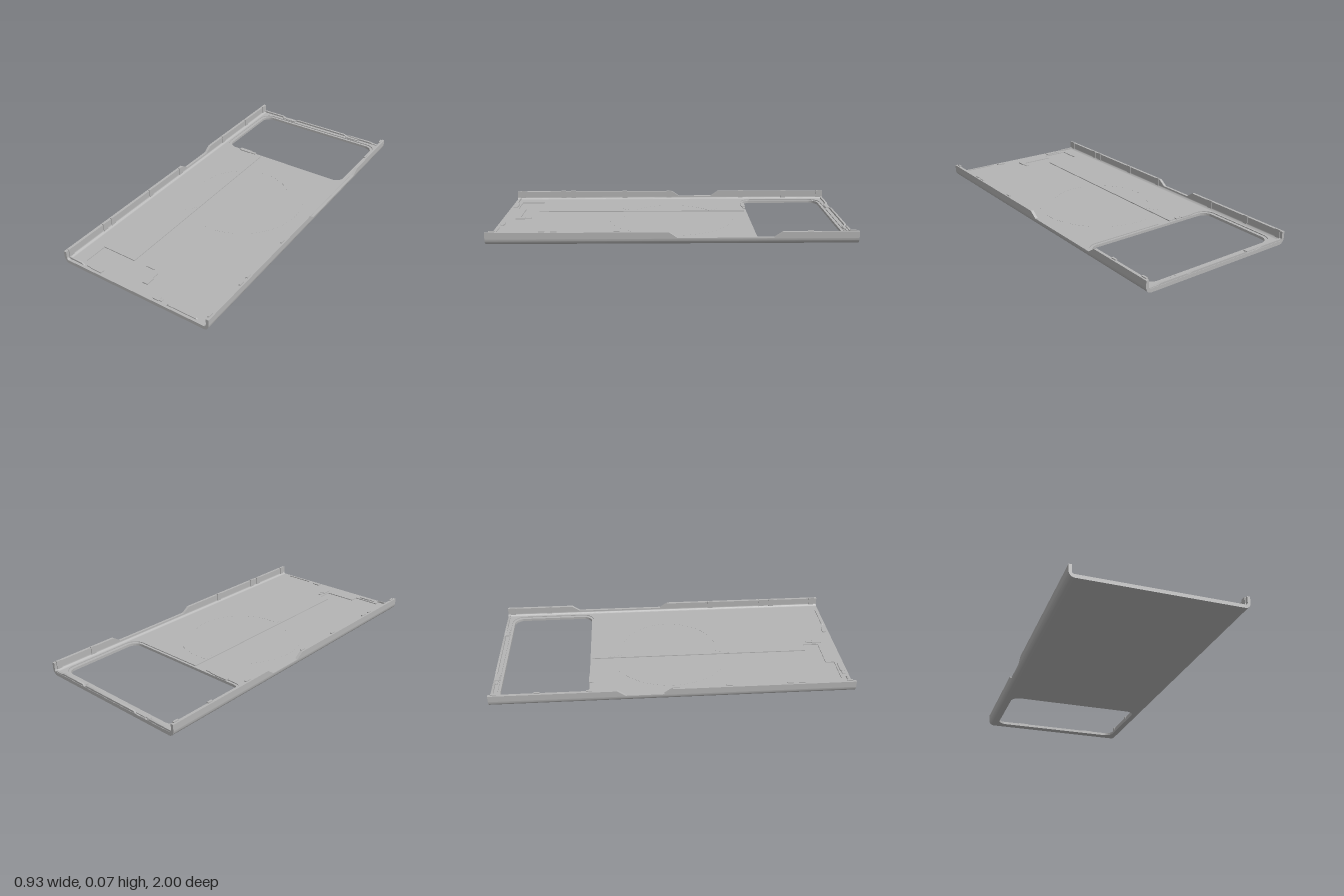
import * as THREE from 'three';
import { toCreasedNormals } from 'three/addons/utils/BufferGeometryUtils.js';

export function createModel() {
  const model = new THREE.Group();
  model.name = 'backCover';
  const grey = new THREE.MeshStandardMaterial({ color: 0xb4b4b4 });
  grey.name = 'grey plastic';

  const add = (name, geometry) => {
    const mesh = new THREE.Mesh(geometry, grey);
    mesh.name = name;
    model.add(mesh);
    return mesh;
  };
  const box = (name, x, y, z, w, h, d) =>
    add(name, new THREE.BoxGeometry(w, h, d).translate(x, y, z));
  const poly = (pts) => new THREE.Shape(pts.map(([x, y]) => new THREE.Vector2(x, y)));
  const extrude = (shape, depth) =>
    toCreasedNormals(new THREE.ExtrudeGeometry(shape, { depth, bevelEnabled: false, curveSegments: 10 }), 0.6);
  // plan shapes use (x, -z) and are laid flat at height y
  const slab = (name, shape, y, h) => add(name, extrude(shape, h).rotateX(-Math.PI / 2).translate(0, y, 0));

  const FLOOR = 0.02, STEP = 0.015, EDGE = 0.435;
  const plan = () => poly([[-EDGE, -1], [EDGE, -1], [EDGE, 1], [-EDGE, 1]]);

  // rounded camera window; extra points interrupt its lower side
  const windowPath = (w, y0, y1, r, extra = []) => {
    const p = new THREE.Path();
    p.moveTo(-w + r, y0);
    extra.forEach(([x, y]) => p.lineTo(x, y));
    p.lineTo(w - r, y0);
    p.absarc(w - r, y0 + r, r, -Math.PI / 2, 0);
    p.absarc(w - r, y1 - r, r, 0, Math.PI / 2);
    p.absarc(-w + r, y1 - r, r, Math.PI / 2, Math.PI);
    p.absarc(-w + r, y0 + r, r, Math.PI, Math.PI * 1.5);
    return p;
  };

  // lower skin with the window opening
  const skin = plan();
  skin.holes.push(windowPath(0.412, 0.465, 0.95, 0.055));
  slab('outerSkin', skin, 0, STEP);

  // inner floor: wider window step, cable channel and its end pocket
  const floor = plan();
  floor.holes.push(windowPath(0.43, 0.452, 0.965, 0.07, [
    [-0.15, 0.452], [-0.15, -0.81], [-0.36, -0.81], [-0.36, -0.95], [-0.2, -0.95],
    [-0.2, -0.9], [-0.01, -0.9], [-0.01, -0.81], [-0.07, -0.81], [-0.07, 0.452],
  ]));
  slab('innerFloor', floor, STEP, FLOOR - STEP);

  // shallow ring on the floor, broken by the channel
  for (const [from, to] of [[-100, 100], [124, 236]]) {
    const a = from * Math.PI / 180, b = to * Math.PI / 180;
    const arc = new THREE.Shape();
    arc.absarc(0, 0, 0.365, a, b, false);
    arc.absarc(0, 0, 0.28, b, a, true);
    const g = new THREE.ExtrudeGeometry(arc, { depth: 0.0005, bevelEnabled: false, curveSegments: 48 });
    add('chargingRing', g.rotateX(-Math.PI / 2).translate(0, FLOOR, 0));
  }

  const tabs = [0.965, 0.7, 0.635, 0.3, 0.01, -0.46, -0.74, -0.97];
  for (const side of [1, -1]) {
    const label = side > 0 ? 'left' : 'right';

    // curved lower edge of the side
    const rail = new THREE.Shape();
    rail.moveTo(side * EDGE, 0);
    rail.bezierCurveTo(side * 0.453, 0, side * 0.467, 0.016, side * 0.467, 0.035);
    rail.lineTo(side * 0.451, 0.035);
    rail.quadraticCurveTo(side * 0.451, FLOOR, side * EDGE, FLOOR);
    rail.closePath();
    add(label + 'Rail', extrude(rail, 2).translate(0, 0, -1));

    // upright wall with a sloped button notch
    const [n0, n1] = side > 0 ? [-0.59, 0.02] : [-0.31, -0.01];
    const wall = poly([[-1, 0.035], [1, 0.035], [1, 0.07], [n1, 0.07], [n1 - 0.045, 0.039],
      [n0 + 0.045, 0.039], [n0, 0.07], [-1, 0.07]]);
    add(label + 'Wall', extrude(wall, 0.016).rotateY(-Math.PI / 2)
      .translate(side > 0 ? 0.467 : -0.451, 0, 0));

    // snap tabs along the inner face
    for (const z of tabs) {
      if (z > n0 - 0.02 && z < n1 + 0.02) continue;
      box(label + 'SnapTab', side * 0.4525, 0.0515, z, 0.011, 0.047, 0.032);
    }
  }

  // low end lips, given as outlines in x and y
  const lip = (name, pts, z, d) => add(name, extrude(poly(pts), d).translate(0, 0, z));
  lip('backLip', [[-0.452, 0.018], [0.452, 0.018], [0.452, 0.025], [0.39, 0.025], [0.38, 0.03],
    [0.22, 0.03], [0.2, 0.021], [0.18, 0.03], [-0.18, 0.03], [-0.2, 0.021],
    [-0.28, 0.021], [-0.3, 0.03], [-0.452, 0.03]], -0.998, 0.012);
  lip('frontLipRight', [[-0.455, 0.018], [-0.34, 0.018], [-0.36, 0.03], [-0.455, 0.03]], 0.977, 0.008);
  lip('frontLipLeft', [[0.2, 0.018], [0.39, 0.018], [0.38, 0.025], [0.21, 0.025]], 0.977, 0.008);

  // small latch clips: a long foot with a narrower nose
  const clip = (x, z, w, nose) => {
    box('latchFoot', x, 0.0225, z, w, 0.007, 0.024);
    box('latchNose', x + nose * w * 0.7, 0.022, z, w * 0.5, 0.006, 0.016);
  };
  clip(-0.23, -0.981, 0.065, -1);
  clip(0.235, -0.981, 0.065, 1);
  clip(-0.26, 0.973, 0.07, -1);
  clip(0.135, 0.973, 0.035, 1);
  clip(-0.27, -0.455, 0.08, 1);

  // upright latch beside the pocket
  box('pocketLatch', 0.015, 0.0225, 0.895, 0.032, 0.007, 0.055);
  box('pocketLatchNose', 0.015, 0.022, 0.85, 0.018, 0.006, 0.04);

  return model;
}
